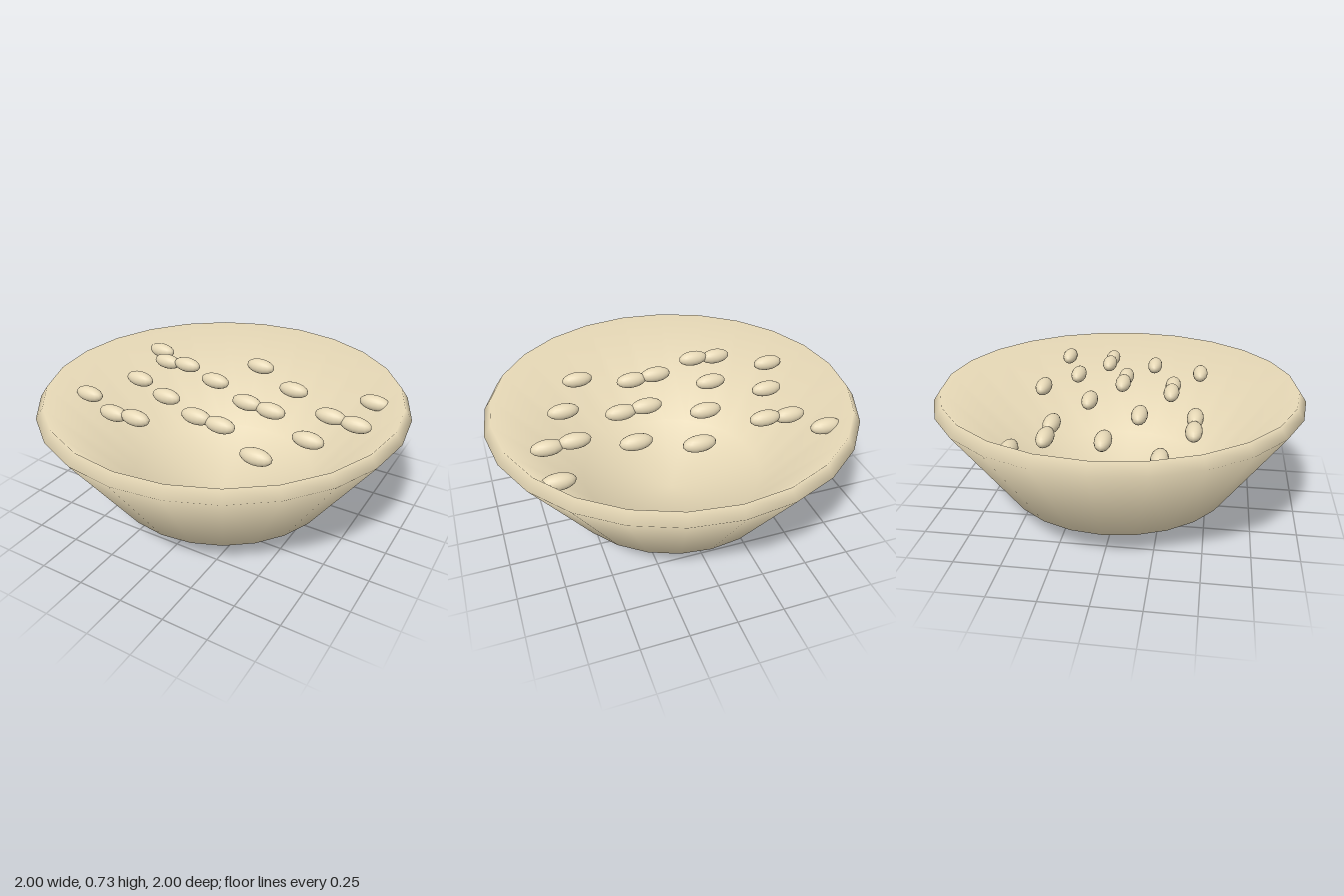
import * as THREE from 'three';

const clay = new THREE.MeshStandardMaterial({ color: 0xe6d8b6 });
clay.name = 'warm tan';

// Lathe whose profile normals weigh both neighbouring segments equally
function smoothLathe(points, segments) {
  const geometry = new THREE.LatheGeometry(points, segments);
  const edges = points.slice(1).map((p, i) =>
    new THREE.Vector2(p.y - points[i].y, points[i].x - p.x).normalize());
  const last = edges.length - 1;
  const normals = points.map((p, j) =>
    edges[Math.max(j - 1, 0)].clone().add(edges[Math.min(j, last)]).normalize());
  normals[0].set(0, -1);
  normals[last + 1].set(0, 1);
  const attribute = geometry.attributes.normal;
  for (let i = 0; i <= segments; i++) {
    const angle = (i / segments) * Math.PI * 2;
    normals.forEach((n, j) => attribute.setXYZ(
      i * points.length + j, n.x * Math.sin(angle), n.y, n.x * Math.cos(angle)));
  }
  return geometry;
}

export function createModel() {
  const model = new THREE.Group();
  model.name = 'bowlOfGrains';

  // Bowl: flat foot, flared wall, bevelled lip and hollow inside
  const profile = [
    [0, 0], [0.345, 0], [0.635, 0.156], [1, 0.675],
    [0.96, 0.733], [0.51, 0.215], [0, 0.08],
  ].map(([r, y]) => new THREE.Vector2(r, y));
  const bowl = new THREE.Mesh(smoothLathe(profile, 24), clay);
  bowl.name = 'bowl';
  model.add(bowl);

  // Grains: ellipsoids on a regular grid, sloping down to both sides
  const rows = [
    [-5, 0, 5], [-4, -3, 2], [-1, 4, 5], [-4, 1, 2],
    [-2, 4], [-5, 0, 1], [-3, -2, 3],
  ];
  const step = 0.142;
  const grainGeometry = new THREE.SphereGeometry(1, 16, 12).scale(0.087, 0.043, 0.043);
  const grains = new THREE.Group();
  grains.name = 'grains';
  rows.forEach((columns, row) => columns.forEach((column) => {
    const x = column * step;
    const z = (row - 3) * step;
    const grain = new THREE.Mesh(grainGeometry, clay);
    grain.name = 'grain';
    grain.position.set(x, 0.688 - 0.076 * Math.abs(x), z);
    grains.add(grain);
  }));
  model.add(grains);

  return model;
}
